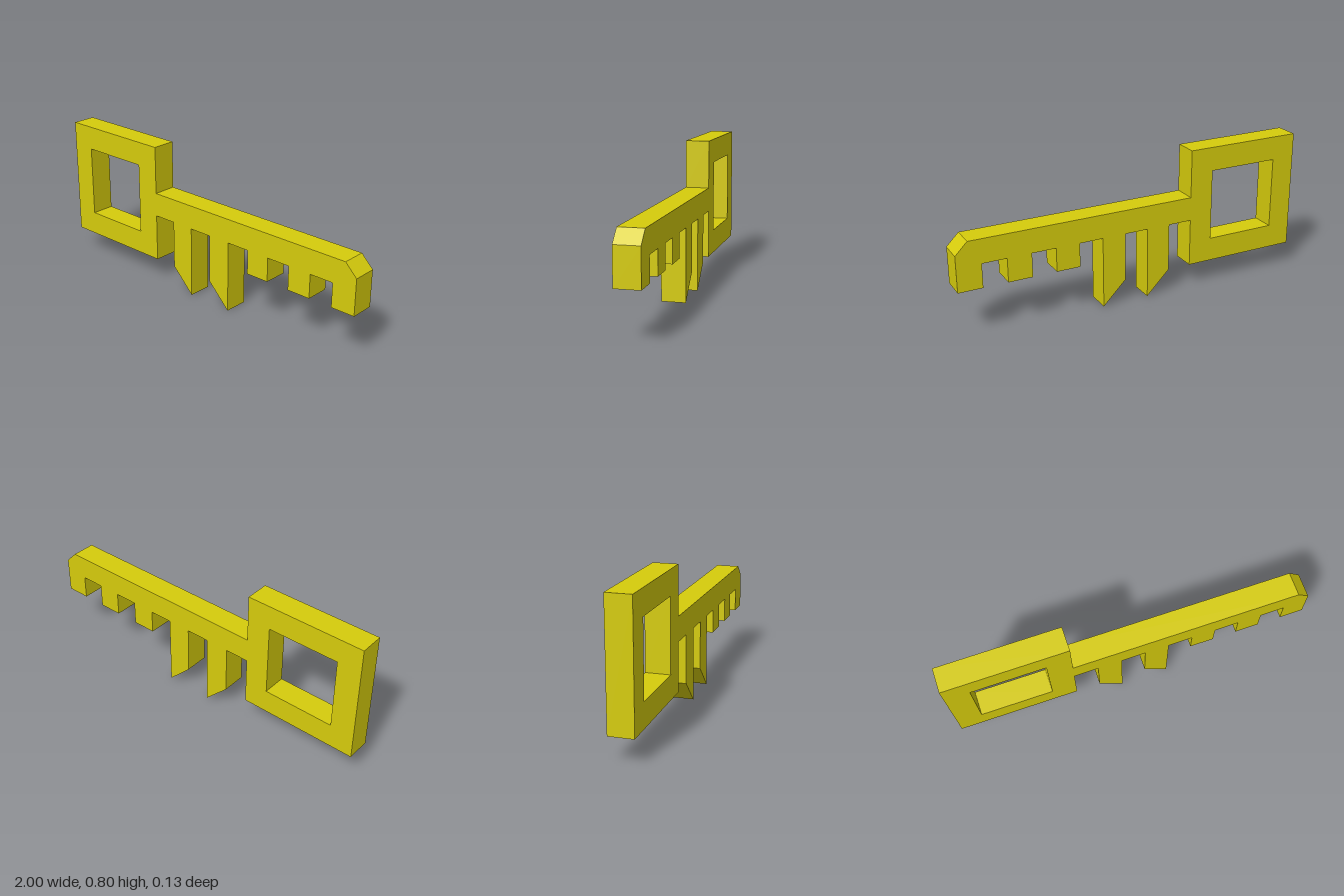
import * as THREE from 'three';

// The key is laid out on a grid of 1/15 unit
const U = 1 / 15;
const toPoints = (list) => list.map(([x, y]) => new THREE.Vector2(x * U, y * U));

export function createModel() {
  const group = new THREE.Group();
  group.name = 'key';

  // Square bow, then along the top of the shaft to the chamfered tip
  const outline = [[-5, 2], [-15, 2], [-15, 12], [-5, 12], [-5, 8], [14, 8], [15, 7]];

  // Three short square teeth, from the tip inwards
  for (const x of [15, 11, 7]) {
    if (x < 15) outline.push([x, 6]);
    outline.push([x, 4], [x - 2, 4], [x - 2, 6]);
  }

  // Two long teeth with slanted ends
  for (const x of [3, -1]) {
    outline.push([x, 6], [x, 0], [x - 2, 2], [x - 2, 6]);
  }

  // Back to the bow
  outline.push([-5, 6]);

  // Square opening in the bow
  const shape = new THREE.Shape(toPoints(outline));
  shape.holes.push(new THREE.Path(toPoints([[-13, 4], [-7, 4], [-7, 10], [-13, 10]])));

  const geometry = new THREE.ExtrudeGeometry(shape, { depth: 2 * U, bevelEnabled: false });
  geometry.translate(0, 0, -U);

  const body = new THREE.Mesh(
    geometry,
    new THREE.MeshStandardMaterial({ color: 0xd6cc0c, flatShading: true })
  );
  body.name = 'bowShaftAndTeeth';
  group.add(body);
  return group;
}
